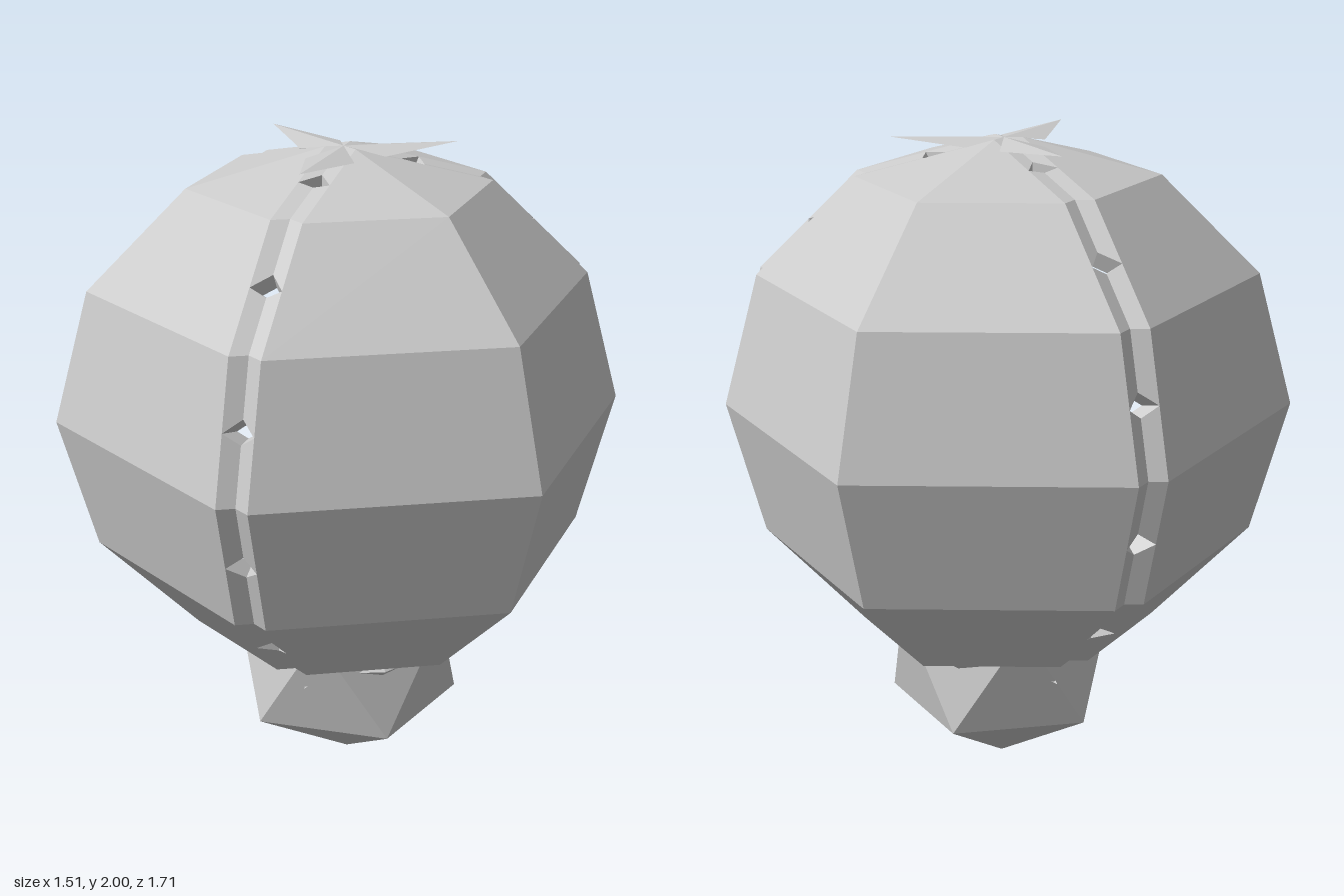
import * as THREE from 'three';

const R = 0.816, RY = 0.81, CY = 1.19, PUSH = 0.055;
const material = new THREE.MeshStandardMaterial({ color: 0xcccccc, flatShading: true });
const thin = new THREE.MeshStandardMaterial({ color: 0xcccccc, flatShading: true, side: THREE.DoubleSide });

const dir = (a, r = 1, y = 0) => new THREE.Vector3(Math.sin(a) * r, y, Math.cos(a) * r);
const third = k => k * Math.PI * 2 / 3;

// Point on the six-sided globe: ring i (0 = bottom pole, 6 = top pole), azimuth a
function globe(i, a, pushAngle) {
  const lat = (i - 3) * Math.PI / 6;
  const p = dir(a, R * Math.cos(lat), CY + RY * Math.sin(lat));
  return pushAngle === undefined ? p : p.addScaledVector(dir(pushAngle), PUSH);
}

function facets(name, points, mat = material) {
  const g = new THREE.BufferGeometry().setFromPoints(points);
  g.computeVertexNormals();
  const m = new THREE.Mesh(g, mat);
  m.name = name;
  return m;
}

const quad = (out, a, b, c, d) => out.push(a, b, c, a, c, d);

// One third of the globe, pushed outward from the axis
function shellPanel(a) {
  const out = [];
  for (let i = 0; i < 6; i++) {
    for (const j of [-1, 0]) {
      const a0 = a + j * Math.PI / 3, a1 = a0 + Math.PI / 3;
      quad(out, globe(i, a0, a), globe(i, a1, a), globe(i + 1, a1, a), globe(i + 1, a0, a));
    }
  }
  return facets('shellPanel', out);
}

// V-shaped seam between two panels, with a diamond hole in every section
function seam(a) {
  const walls = [], holes = [];
  const left = a - Math.PI / 3, right = a + Math.PI / 3;
  for (let i = 0; i < 6; i++) {
    const [L0, L1] = [globe(i, a, left), globe(i + 1, a, left)];
    const [R0, R1] = [globe(i, a, right), globe(i + 1, a, right)];
    const [V0, V1] = [globe(i, a), globe(i + 1, a)];
    const Lm = L0.clone().lerp(L1, 0.5), Rm = R0.clone().lerp(R1, 0.5);
    const Va = V0.clone().lerp(V1, 0.415), Vb = V0.clone().lerp(V1, 0.585);
    walls.push(L0, V0, Va, L0, Va, Lm, Lm, Vb, V1, Lm, V1, L1);
    walls.push(V0, R0, Va, Va, R0, Rm, Rm, R1, V1, Rm, V1, Vb);

    // Short tapering walls inside the hole
    const rim = [Va, Rm, Vb, Lm];
    const mid = Va.clone().lerp(Vb, 0.5);
    const inward = new THREE.Vector3(0, CY, 0).sub(mid).normalize();
    mid.addScaledVector(inward, 0.05);
    const inner = rim.map(p => p.clone().addScaledVector(inward, 0.05).lerp(mid, 0.4));
    rim.forEach((p, n) => {
      const m = (n + 1) % 4;
      quad(holes, p, rim[m], inner[m], inner[n]);
    });
  }
  const group = new THREE.Group();
  group.name = 'seam';
  group.add(facets('seamWalls', walls), facets('seamHoles', holes));
  return group;
}

// Three folded kite-shaped leaves around a pole
function poleStar(name, sign) {
  const out = [];
  const y = h => CY + sign * h;
  for (let k = 0; k < 3; k++) {
    const a = third(k) + Math.PI / 3;
    const centre = new THREE.Vector3(0, y(RY), 0), tip = dir(a, 0.338, y(RY));
    for (const s of [-1, 1]) {
      const side = dir(a + s * 0.6, 0.133, y(RY - 0.018));
      out.push(centre, side, tip);
    }
  }
  return facets(name, out, thin);
}

export function createModel() {
  const model = new THREE.Group();
  model.name = 'lowPolyGlobe';

  const body = new THREE.Group();
  body.name = 'body';
  body.position.z = -0.014;
  for (let k = 0; k < 3; k++) {
    body.add(shellPanel(third(k)), seam(third(k) + Math.PI / 3));
  }
  body.add(poleStar('topStar', 1), poleStar('bottomStar', -1));
  model.add(body);

  // Twenty-sided foot standing on one corner: poles plus two staggered rings of five
  const foot = [], r = 0.39;
  const low = new THREE.Vector3(0, 0, 0), high = new THREE.Vector3(0, 2 * r, 0);
  const ring = (n, up) => dir(-Math.PI / 2 + (n + (up ? 0.5 : 0)) * Math.PI * 0.4,
    r * 0.8944, r * (up ? 1.4472 : 0.5528));
  for (let n = 0; n < 5; n++) {
    foot.push(low, ring(n + 1, false), ring(n, false));
    foot.push(ring(n, false), ring(n + 1, false), ring(n, true));
    foot.push(ring(n + 1, false), ring(n + 1, true), ring(n, true));
    foot.push(ring(n, true), ring(n + 1, true), high);
  }
  model.add(facets('foot', foot));

  // Small studs on the foot, just under the globe
  for (let n = 0; n < 5; n++) {
    const a = -Math.PI / 2 + n * Math.PI * 0.4;
    const stud = new THREE.Mesh(new THREE.OctahedronGeometry(1), material);
    stud.name = 'stud';
    stud.scale.set(0.08, 0.025, 0.025);
    stud.position.copy(dir(a, 0.305, 0.44));
    stud.rotation.y = a;
    model.add(stud);
  }
  return model;
}
